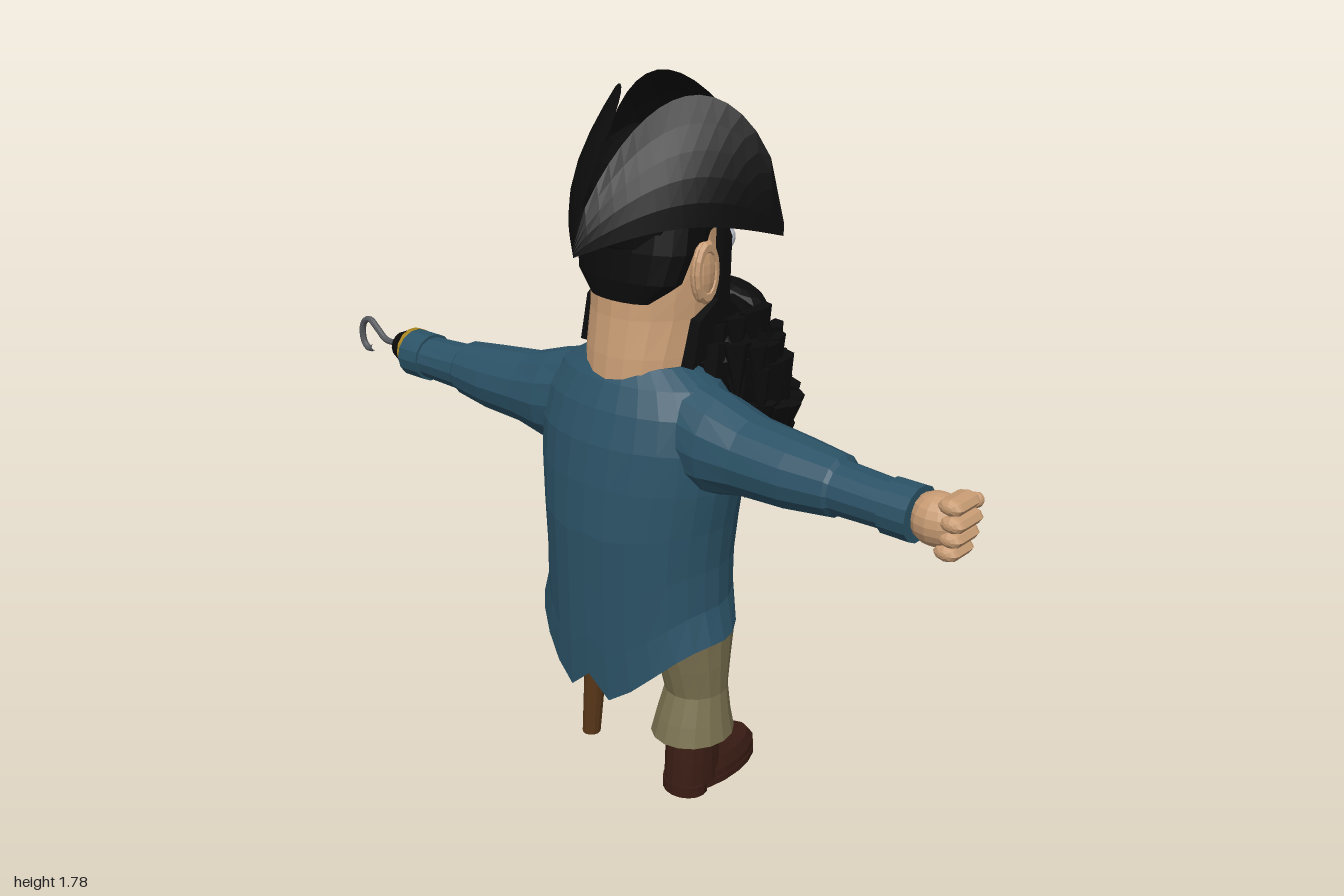
import * as THREE from 'three';
import { mergeGeometries } from 'three/addons/utils/BufferGeometryUtils.js';

const MID = 0.07; // the body's centre line in z; the figure faces +x

const paint = (color, side = THREE.FrontSide) =>
  new THREE.MeshStandardMaterial({ color, flatShading: true, side });
const coat = paint(0x2b5266, THREE.DoubleSide), cloth = paint(0x7a7150), skin = paint(0xc89c74);
const hair = paint(0x0c0c0c), felt = paint(0x0c0c0c, THREE.DoubleSide), wood = paint(0x5a3819);
const leather = paint(0x3a1d14), steel = paint(0x55585c), gold = paint(0xa88420);
const white = paint(0xc4c9d4), lip = paint(0x9a6a58), tooth = paint(0xd8d4c4);

// Closed skin over elliptical rings [y, cx, cz, rx, rz], listed upwards
function loft(rings, seg = 16, capBottom = true) {
  const pos = [], idx = [], n = rings.length;
  for (const [y, cx, cz, rx, rz] of rings)
    for (let j = 0; j < seg; j++) {
      const a = (j / seg) * Math.PI * 2;
      pos.push(cx + rx * Math.cos(a), y, cz + rz * Math.sin(a));
    }
  for (const r of [rings[0], rings[n - 1]]) pos.push(r[1], r[0], r[2]);
  for (let j = 0; j < seg; j++) {
    const k = (j + 1) % seg, t = (n - 1) * seg;
    for (let i = 0; i < n - 1; i++) {
      const a = i * seg + j, b = i * seg + k;
      idx.push(a, a + seg, b, b, a + seg, b + seg);
    }
    if (capBottom) idx.push(n * seg, j, k);
    idx.push(n * seg + 1, t + k, t + j);
  }
  const g = new THREE.BufferGeometry();
  g.setAttribute('position', new THREE.Float32BufferAttribute(pos, 3));
  g.setIndex(idx);
  g.computeVertexNormals();
  return g;
}
// Rings given as [y, xBack, xFront, halfWidth, cz]
const body = (rows, seg, cap) =>
  loft(rows.map(([y, a, b, h, cz = MID]) => [y, (a + b) / 2, cz, (b - a) / 2, h]), seg, cap);
// Loft along z: [z, x, y, rx, ry]; side -1 mirrors it across the centre line
function limb(rows, side, seg = 14) {
  let r = rows.map(([z, x, y, rx, ry]) => [side > 0 ? z : 2 * MID - z, x, -y, rx, ry]);
  if (side < 0) r = r.reverse();
  return loft(r, seg).rotateX(Math.PI / 2);
}
const ball = (x, y, z, rx, ry, rz, w = 14, h = 10) =>
  new THREE.SphereGeometry(1, w, h).scale(rx, ry, rz).translate(x, y, z);

// One turned-up side of the hat, running between two corners
function flap(A, B, bulge, height, skew, lean) {
  const pos = [], idx = [], U = 16, V = 5, c = new THREE.Vector3(-0.06, 1.5, MID);
  const out = new THREE.Vector3(B.z - A.z, 0, A.x - B.x).normalize();
  const mid = A.clone().add(B).multiplyScalar(0.5);
  if (out.dot(mid.sub(c)) < 0) out.negate();
  for (let i = 0; i <= U; i++) {
    const u = i / U, s = Math.sin(Math.PI * u);
    const rise = 0.03 + height * Math.pow(Math.max(0, Math.sin(Math.PI * u ** skew)), 0.7);
    const base = A.clone().lerp(B, u).addScaledVector(out, bulge * s);
    base.y += 0.05 * s;
    pos.push(c.x, c.y, c.z);
    for (let v = 0; v <= V; v++) {
      const t = v / V;
      const p = base.clone().addScaledVector(out, -lean * s * t * t);
      p.y += (rise - 0.05 * s) * t;
      pos.push(p.x, p.y, p.z);
    }
  }
  for (let i = 0; i < U; i++)
    for (let v = 0; v <= V; v++) {
      const a = i * (V + 2) + v, b = a + V + 2;
      idx.push(a, b, a + 1, b, b + 1, a + 1);
    }
  const g = new THREE.BufferGeometry();
  g.setAttribute('position', new THREE.Float32BufferAttribute(pos, 3));
  g.setIndex(idx);
  g.computeVertexNormals();
  return g;
}

export function createModel() {
  const model = new THREE.Group();
  const add = (name, geo, mat) => {
    const m = new THREE.Mesh(geo, mat);
    m.name = name;
    model.add(m);
    return m;
  };

  // Coat with a hem raised in front and falling to split tails behind
  const torso = body([[0.47, -0.285, 0.08, 0.28], [0.55, -0.292, 0.1, 0.255], [0.65, -0.297, 0.11, 0.252],
    [0.75, -0.3, 0.12, 0.26], [0.85, -0.29, 0.12, 0.275], [0.95, -0.275, 0.1, 0.28],
    [1.03, -0.25, 0.07, 0.265], [1.09, -0.22, 0.04, 0.22], [1.13, -0.19, 0.0, 0.15]], 28, false);
  const p = torso.attributes.position;
  for (let i = 0; i < p.count; i++) {
    const y = p.getY(i), a = Math.atan2((p.getZ(i) - MID) / 0.27, (p.getX(i) + 0.1) / 0.19), c = Math.cos(a);
    const hem = c > 0 ? 0.46 + 0.09 * c * c : 0.46 + 0.19 * c ** 3 + (c < -0.995 ? 0.07 : 0);
    if (y < 0.8) p.setY(i, y + (hem - 0.47) * (0.8 - y) / 0.33);
  }
  torso.computeVertexNormals();
  add('coat', torso, coat);

  // Sleeves and cuffs
  for (const s of [1, -1]) {
    add('sleeve', limb([[0.2, -0.1, 0.98, 0.1, 0.14], [0.33, -0.1, 0.965, 0.11, 0.12], [0.42, -0.1, 0.96, 0.1, 0.095],
      [0.55, -0.1, 0.955, 0.092, 0.085], [0.66, -0.1, 0.955, 0.075, 0.072], [0.67, -0.105, 0.955, 0.065, 0.062],
      [0.82, -0.11, 0.955, 0.06, 0.055]], s), coat);
    add('cuff', limb([[0.8, -0.11, 0.955, 0.066, 0.064], [0.87, -0.11, 0.955, 0.066, 0.064]], s), coat);
  }

  // Fist: palm, four curled fingers and a thumb
  add('palm', ball(-0.105, 0.955, 0.91, 0.058, 0.06, 0.065), skin);
  for (let i = 0; i < 4; i++)
    add('finger', new THREE.CapsuleGeometry(0.019, 0.07 - Math.abs(i - 1.8) * 0.008, 4, 8).rotateZ(Math.PI / 2)
      .scale(1, 1, 1.6).translate(-0.105, 0.9 + i * 0.035, 0.965 - Math.abs(i - 1.8) * 0.008), skin);
  add('thumb', new THREE.CapsuleGeometry(0.018, 0.06, 4, 8).rotateX(1.2).translate(-0.05, 0.985, 0.935), skin);

  // Hook with its cup and band
  add('hookCup', limb([[0.87, -0.085, 0.95, 0.055, 0.056], [0.92, -0.085, 0.95, 0.054, 0.054],
    [0.96, -0.085, 0.95, 0.038, 0.037], [0.985, -0.085, 0.95, 0.015, 0.015]], -1), hair);
  add('hookBand', limb([[0.895, -0.085, 0.95, 0.059, 0.059], [0.915, -0.085, 0.95, 0.058, 0.058]], -1), gold);
  const bend = [[-0.83, 0.95], [-0.89, 0.95], [-0.925, 0.975], [-0.955, 0.995], [-0.98, 0.985], [-0.992, 0.955],
    [-0.985, 0.92], [-0.965, 0.907], [-0.945, 0.915]].map(([z, y]) => new THREE.Vector3(-0.085, y, z));
  add('hook', new THREE.TubeGeometry(new THREE.CatmullRomCurve3(bend), 36, 0.009, 8), steel);

  // Trousers, boot and peg leg
  add('trouserSeat', ball(-0.08, 0.47, MID, 0.155, 0.15, 0.235, 20, 14), cloth);
  add('trouserLeg', body([[0.16, -0.19, 0.03, 0.102, 0.235], [0.21, -0.175, 0.02, 0.092, 0.235],
    [0.28, -0.15, 0.015, 0.078, 0.235], [0.36, -0.17, 0.03, 0.085, 0.23], [0.46, -0.2, 0.06, 0.1, 0.215]]), cloth);
  add('trouserStump', ball(-0.08, 0.43, -0.06, 0.12, 0.1, 0.1), cloth);
  add('pegCup', ball(-0.08, 0.335, -0.09, 0.082, 0.08, 0.08), wood);
  add('peg', loft([[0, -0.08, -0.12, 0.025, 0.025], [0.29, -0.08, -0.095, 0.032, 0.032]], 12), wood);
  add('bootShaft', body([[0.03, -0.165, 0, 0.065, 0.24], [0.1, -0.16, -0.01, 0.065, 0.24],
    [0.18, -0.15, -0.02, 0.062, 0.24]]), leather);
  add('bootFoot', body([[0.02, -0.16, 0.143, 0.07, 0.24], [0.05, -0.16, 0.145, 0.07, 0.24],
    [0.08, -0.15, 0.12, 0.062, 0.24], [0.11, -0.14, 0.04, 0.05, 0.24]], 18), leather);
  add('bootSole', body([[0.012, -0.165, 0.147, 0.072, 0.24], [0.03, -0.165, 0.147, 0.072, 0.24]], 18), leather);
  add('bootHeel', body([[0, -0.165, -0.06, 0.06, 0.24], [0.03, -0.165, -0.055, 0.062, 0.24]]), leather);

  // Head and hair
  add('head', body([[1.02, -0.225, 0.05, 0.14], [1.15, -0.21, 0.09, 0.15], [1.24, -0.195, 0.145, 0.16],
    [1.29, -0.19, 0.14, 0.163], [1.37, -0.175, 0.11, 0.163], [1.45, -0.165, 0.105, 0.158],
    [1.53, -0.12, 0.08, 0.12]], 20), skin);
  add('backHair', body([[1.28, -0.192, -0.12, 0.09], [1.33, -0.196, -0.06, 0.15], [1.4, -0.19, -0.03, 0.168],
    [1.5, -0.17, -0.02, 0.165]], 18), hair);
  add('nose', new THREE.CylinderGeometry(0.02, 0.04, 0.14, 10).rotateZ(0.75).translate(0.135, 1.335, MID), skin);
  add('noseTip', ball(0.182, 1.293, MID, 0.04, 0.037, 0.037, 12, 8), skin);
  for (const s of [1, -1]) {
    add('eye', ball(0.088, 1.392, MID + s * 0.076, 0.045, 0.043, 0.052, 18, 12), white);
    add('pupil', ball(0.126, 1.39, MID + s * 0.07, 0.01, 0.018, 0.018, 12, 8), white);
    add('nostril', ball(0.16, 1.283, MID + s * 0.033, 0.025, 0.021, 0.02, 10, 8), skin);
    add('eyebrow', new THREE.BoxGeometry(0.03, 0.022, 0.11).rotateX(-s * 0.3)
      .translate(0.11, 1.452, MID + s * 0.075), hair);
    add('ear', ball(-0.065, 1.35, MID + s * 0.166, 0.038, 0.072, 0.022, 12, 10).rotateZ(0), skin);
    add('earRim', new THREE.TorusGeometry(0.032, 0.009, 6, 14).scale(1, 1.85, 1)
      .translate(-0.065, 1.352, MID + s * 0.178), skin);
    const burn = new THREE.Shape([[-0.11, 1.13], [0.1, 1.2], [0.02, 1.27], [0.025, 1.42], [0, 1.47], [-0.02, 1.28],
      [-0.085, 1.24]].map(q => new THREE.Vector2(...q)));
    add('sideburn', new THREE.ExtrudeGeometry(burn, { depth: 0.04, bevelEnabled: false })
      .translate(0, 0, MID + s * 0.158 - 0.02), hair);
    add('moustache', ball(0, 0, 0, 0.055, 0.03, 0.085, 12, 8).rotateX(s * 0.3)
      .translate(0.195, 1.222, MID + s * 0.065), hair);
  }

  // Beard: a solid core with overlapping pointed tufts
  const rows = [[0.72, 0.11, 0.17, 0.05], [0.8, 0.08, 0.235, 0.15], [0.88, 0.05, 0.28, 0.215],
    [0.97, 0, 0.3, 0.25], [1.06, -0.06, 0.295, 0.25], [1.13, -0.11, 0.275, 0.24], [1.19, -0.1, 0.24, 0.21],
    [1.235, -0.07, 0.17, 0.175]];
  add('beard', body(rows, 28), hair);
  const tufts = [];
  rows.slice(1, 7).forEach(([y, x0, x1, h], k) => {
    for (let j = 0; j < 22; j++) {
      const a = ((j + (k % 2) / 2) / 22) * Math.PI * 2, c = Math.cos(a), z = h * Math.sin(a);
      if (c < -0.75 || (y > 1.1 && c > 0 && Math.abs(z) < 0.14)) continue;
      const len = 0.13 + 0.025 * Math.sin(j * 7.3 + k * 3.1);
      tufts.push(new THREE.ConeGeometry(0.04, len, 5).rotateX(Math.PI).scale(0.5, 1, 1)
        .rotateZ(k < 3 ? -0.2 : 0.08).rotateY(-a)
        .translate((x0 + x1) / 2 + (x1 - x0) / 2 * c, y - 0.03, MID + z));
    }
  });
  add('beardTufts', mergeGeometries(tufts), hair);

  // Mouth with a gappy set of teeth
  const mouth = new THREE.Group();
  mouth.name = 'mouth';
  mouth.position.set(0.268, 1.15, MID);
  mouth.rotation.z = 0.3;
  model.add(mouth);
  const inMouth = (name, geo, mat) => mouth.add(add(name, geo, mat));
  inMouth('lips', new THREE.TorusGeometry(0.045, 0.008, 6, 24).rotateY(Math.PI / 2).scale(1.5, 0.95, 1.95), lip);
  inMouth('mouthInside', ball(0, 0, 0, 0.008, 0.042, 0.088), hair);
  for (const r of [1, -1])
    for (let i = -3; i <= 3; i++) {
      if ((r > 0 && i === 2) || (r < 0 && i === 1)) continue;
      inMouth('tooth', new THREE.BoxGeometry(0.012, 0.026, 0.019)
        .translate(0.008, r * 0.016, i * 0.0215), r > 0 && i === -1 ? gold : tooth);
    }

  // Three-cornered hat
  const back = new THREE.Vector3(-0.315, 1.405, MID);
  const [left, right] = [1, -1].map(s => new THREE.Vector3(0.07, 1.43, MID + s * 0.29));
  add('hatFront', flap(left, right, 0.065, 0.32, 1, 0.13), felt);
  for (const corner of [left, right]) add('hatSide', flap(corner, back, 0.035, 0.29, 0.75, 0.12), felt);
  add('hatCrown', ball(-0.06, 1.47, MID, 0.14, 0.2, 0.17, 16, 10), felt);
  return model;
}
